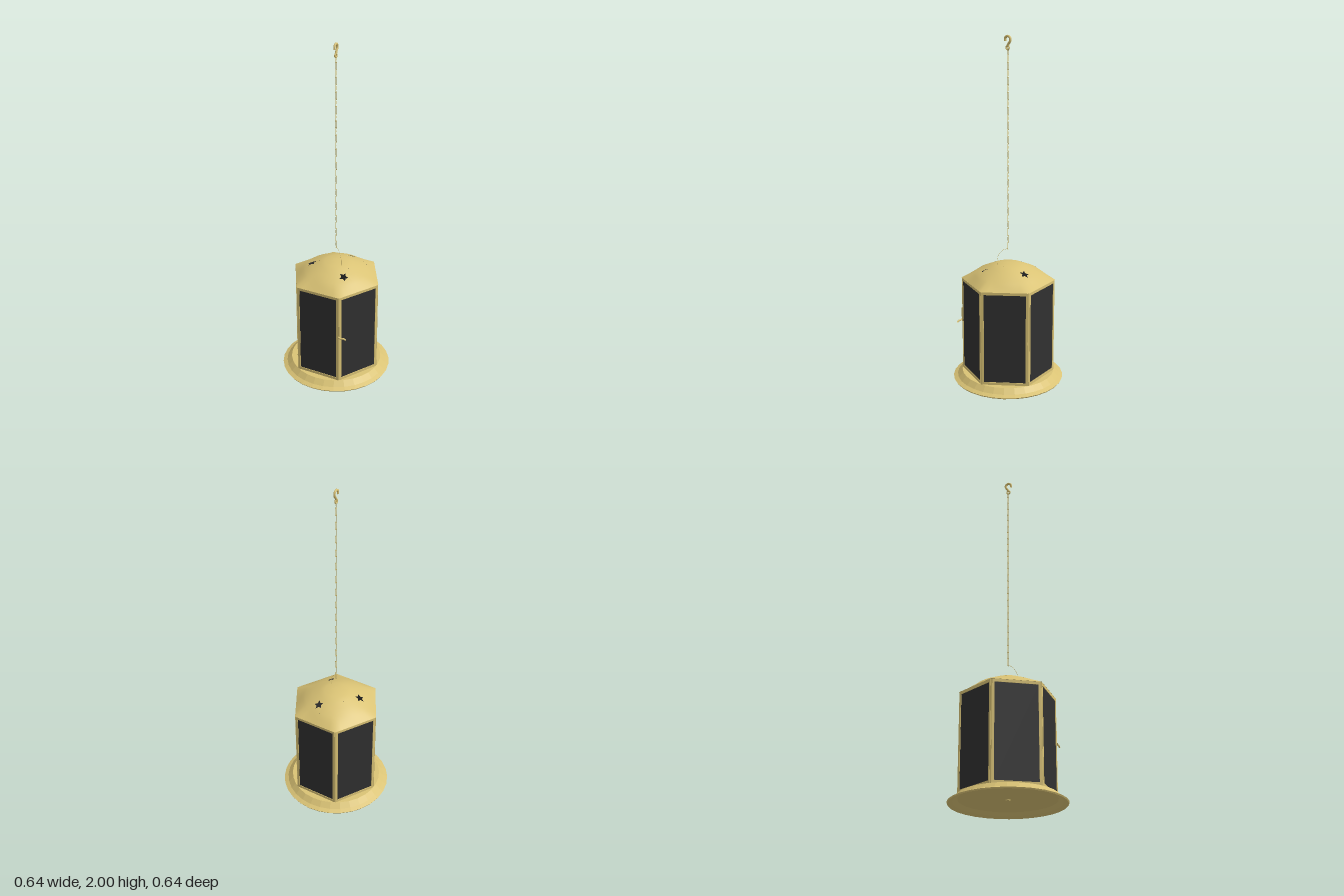
import * as THREE from 'three';

const gold = new THREE.MeshStandardMaterial({ name: 'brass', color: 0xdac375, side: THREE.DoubleSide });
const dark = new THREE.MeshStandardMaterial({ name: 'dark glass', color: 0x303030, side: THREE.DoubleSide });

const APOTHEM = 0.235, BAND_IN = 0.1, DOME_R = 0.18, DOME_Y = 0.653, EAVE_Y = 0.609;

function add(parent, name, geometry, material, x = 0, y = 0, z = 0) {
  const mesh = new THREE.Mesh(geometry, material);
  mesh.name = name;
  mesh.position.set(x, y, z);
  parent.add(mesh);
  return mesh;
}

// Star outline; angles run anticlockwise seen from above
function star(x, y, r, turn) {
  return Array.from({ length: 10 }, (_, i) => {
    const a = (i * Math.PI) / 5 + turn, d = i % 2 ? r * 0.48 : r;
    return new THREE.Vector2(x + d * Math.cos(a), y + d * Math.sin(a));
  });
}

// Distance from the axis to the hexagon edge at an angle
function hexRadius(a) {
  const step = Math.PI / 3;
  const m = ((a % step) + step) % step;
  return APOTHEM / Math.cos(m - step / 2);
}

// Roof height: round dome that eases out to a level hexagonal eave
const domeProfile = [[0, 0.706], [0.065, 0.701], [BAND_IN, 0.69], [DOME_R, DOME_Y]];
function roofHeight(x, z) {
  const r = Math.hypot(x, z);
  for (let i = 1; i < domeProfile.length; i++) {
    const [r0, y0] = domeProfile[i - 1], [r1, y1] = domeProfile[i];
    if (r <= r1 + 1e-6) return y0 + ((y1 - y0) * (r - r0)) / (r1 - r0);
  }
  const s = (r - DOME_R) / (hexRadius(Math.atan2(z, x)) - DOME_R);
  return DOME_Y + (EAVE_Y - DOME_Y) * s;
}

// Lay a flat, upward-facing geometry over the roof with smooth normals
function drape(g, lift = 0) {
  const p = g.attributes.position, n = g.attributes.normal, e = 0.025;
  const v = new THREE.Vector3();
  for (let i = 0; i < p.count; i++) {
    const x = p.getX(i), z = p.getZ(i);
    p.setY(i, roofHeight(x, z) + lift);
    v.set(roofHeight(x - e, z) - roofHeight(x + e, z), 2 * e,
      roofHeight(x, z - e) - roofHeight(x, z + e)).normalize();
    n.setXYZ(i, v.x, v.y, v.z);
  }
  return g;
}

// Sector of the roof between two radius rules
function sector(a0, a1, inner, outer, columns, rows) {
  const g = new THREE.PlaneGeometry(1, 1, columns, rows);
  const p = g.attributes.position;
  for (let i = 0; i < p.count; i++) {
    const a = a1 + (a0 - a1) * (p.getX(i) + 0.5);
    const r = THREE.MathUtils.lerp(inner, outer(a), 0.5 - p.getY(i));
    p.setXYZ(i, r * Math.cos(a), 0, -r * Math.sin(a));
  }
  g.setIndex(Array.from(g.index.array).reverse());
  // Keep the winding upward whichever way the sweep runs
  const [i0, i1, i2] = g.index.array;
  const at = (i) => new THREE.Vector3().fromBufferAttribute(p, i);
  const up = at(i1).sub(at(i0)).cross(at(i2).sub(at(i0))).y;
  if (up < 0) g.setIndex(Array.from(g.index.array).reverse());
  return drape(g);
}

// Piece of the dome with a star cut out of it
function starSector(a0, a1, points) {
  const shape = new THREE.Shape();
  shape.absarc(0, 0, DOME_R, a0, a1, false);
  shape.absarc(0, 0, BAND_IN, a1, a0, true);
  shape.closePath();
  shape.holes.push(new THREE.Path(points));
  return drape(new THREE.ShapeGeometry(shape, 5).rotateX(-Math.PI / 2));
}

function rectangle(Type, w, h) {
  const s = new Type();
  s.moveTo(-w / 2, -h / 2);
  s.lineTo(w / 2, -h / 2);
  s.lineTo(w / 2, h / 2);
  s.lineTo(-w / 2, h / 2);
  s.closePath();
  return s;
}

function tube(points, radius, segments = 24) {
  const path = new THREE.CatmullRomCurve3(points.map((p) => new THREE.Vector3(...p)));
  return new THREE.TubeGeometry(path, segments, radius, 6);
}

export function createModel() {
  const model = new THREE.Group();
  model.name = 'hanging lantern';

  // Flared round base with a recessed underside
  const baseProfile = [[0, 0.026], [0.266, 0.026], [0.292, 0.011], [0.318, 0.001], [0.322, 0.008],
    [0.298, 0.018], [0.27, 0.046], [0, 0.046]].map(([r, y]) => new THREE.Vector2(r, y));
  const baseGeometry = new THREE.LatheGeometry(baseProfile, 30).toNonIndexed();
  baseGeometry.computeVertexNormals();
  add(model, 'base', baseGeometry, gold);
  add(model, 'baseButton', new THREE.CylinderGeometry(0.014, 0.014, 0.006, 12), gold, 0, 0.024, 0);

  // Six framed panels with a slim post at each corner
  const frameShape = rectangle(THREE.Shape, 0.26, 0.562);
  frameShape.holes.push(rectangle(THREE.Path, 0.236, 0.53));
  const frameGeometry = new THREE.ExtrudeGeometry(frameShape, { depth: 0.01, bevelEnabled: false });
  for (let i = 0; i < 6; i++) {
    const side = new THREE.Group();
    side.name = 'side' + (i + 1);
    side.rotation.y = (i * Math.PI) / 3;
    add(side, 'frame', frameGeometry, gold, 0, 0.327, APOTHEM - 0.01);
    add(side, 'glassPanel', new THREE.BoxGeometry(0.238, 0.532, 0.004), dark, 0, 0.327, APOTHEM - 0.005);
    const post = add(side, 'cornerPost', new THREE.CylinderGeometry(0.007, 0.007, 0.562, 6), gold, 0.131, 0.327, APOTHEM - 0.008);
    post.rotation.y = Math.PI / 6;
    model.add(side);
  }

  // Domed roof: crown, band with three star cut-outs, hexagonal eave
  const roof = new THREE.Group();
  roof.name = 'roof';
  const turn = Math.PI * 2;
  add(roof, 'roofCrown', sector(0, turn, 0.065, () => BAND_IN, 48, 2), gold);
  add(roof, 'roofEave', sector(0, turn, DOME_R, hexRadius, 48, 4), gold);
  const cuts = [[0.034, 0.136, 1.35], [-0.138, -0.04, 1.8], [0.1, -0.102, 1.65]].map(([x, y, spin]) => {
    const angle = (Math.atan2(y, x) + turn) % turn;
    return { angle, points: star(x, y, 0.028, spin) };
  });
  const half = 0.26;
  cuts.forEach(({ angle, points }, i) => {
    const next = cuts[(i + 1) % 3].angle + (i === 2 ? turn : 0);
    add(roof, 'roofStarPiece', starSector(angle - half, angle + half, points), gold);
    add(roof, 'roofBandPiece', sector(angle + half, next - half, BAND_IN, () => DOME_R, 14, 2), gold);
  });
  add(roof, 'roofCap', drape(new THREE.CircleGeometry(0.067, 16).rotateX(-Math.PI / 2), 0.001), gold);
  const capStar = new THREE.ShapeGeometry(new THREE.Shape(star(0, 0, 0.028, Math.PI / 2)));
  add(roof, 'capStar', drape(capStar.rotateX(-Math.PI / 2), 0.004), gold);
  model.add(roof);

  // Door latch: slim upright plate and a short lever
  const latch = new THREE.Group();
  latch.name = 'doorLatch';
  add(latch, 'latchPlate', new THREE.BoxGeometry(0.01, 0.085, 0.006), gold, 0.135, 0.38, 0.231);
  add(latch, 'latchLever', tube([[0.132, 0.35, 0.236], [0.15, 0.344, 0.237], [0.165, 0.348, 0.236], [0.18, 0.343, 0.235]], 0.005), gold);
  model.add(latch);

  // Fine wire bail from the roof to the chain
  add(model, 'wireBail', tube([[0, 0.792, 0], [0.024, 0.785, 0.018], [0.045, 0.76, 0.034], [0.054, 0.727, 0.04], [0.05, 0.69, 0.037]], 0.001), gold);

  // Chain of long fine links, each turned a quarter from the last
  const chain = new THREE.Group();
  chain.name = 'chain';
  const linkGeometry = new THREE.TorusGeometry(0.0048, 0.0012, 5, 14);
  const p = linkGeometry.attributes.position;
  for (let i = 0; i < p.count; i++) p.setY(i, p.getY(i) + Math.sign(Math.round(p.getY(i) * 1e5)) * 0.018);
  linkGeometry.computeVertexNormals();
  const links = 28;
  for (let i = 0; i < links; i++) {
    const link = add(chain, 'chainLink', linkGeometry, gold, 0, 0.808 + (i * 1.105) / (links - 1), 0);
    link.rotation.y = (i % 2) * (Math.PI / 2);
  }
  model.add(chain);

  // Open hook at the top with an eye for the chain
  const hook = new THREE.Group();
  hook.name = 'hook';
  add(hook, 'hookCurve', tube([[0, 1.966, 0.02], [0, 1.983, 0.018], [0, 1.993, 0.003], [0, 1.985, -0.012],
    [0, 1.968, -0.014], [0, 1.953, -0.004], [0, 1.938, 0.004]], 0.0068, 30), gold);
  add(hook, 'hookEye', new THREE.TorusGeometry(0.01, 0.0045, 6, 16), gold, 0, 1.93, 0.003).rotation.y = Math.PI / 2;
  model.add(hook);

  return model;
}
